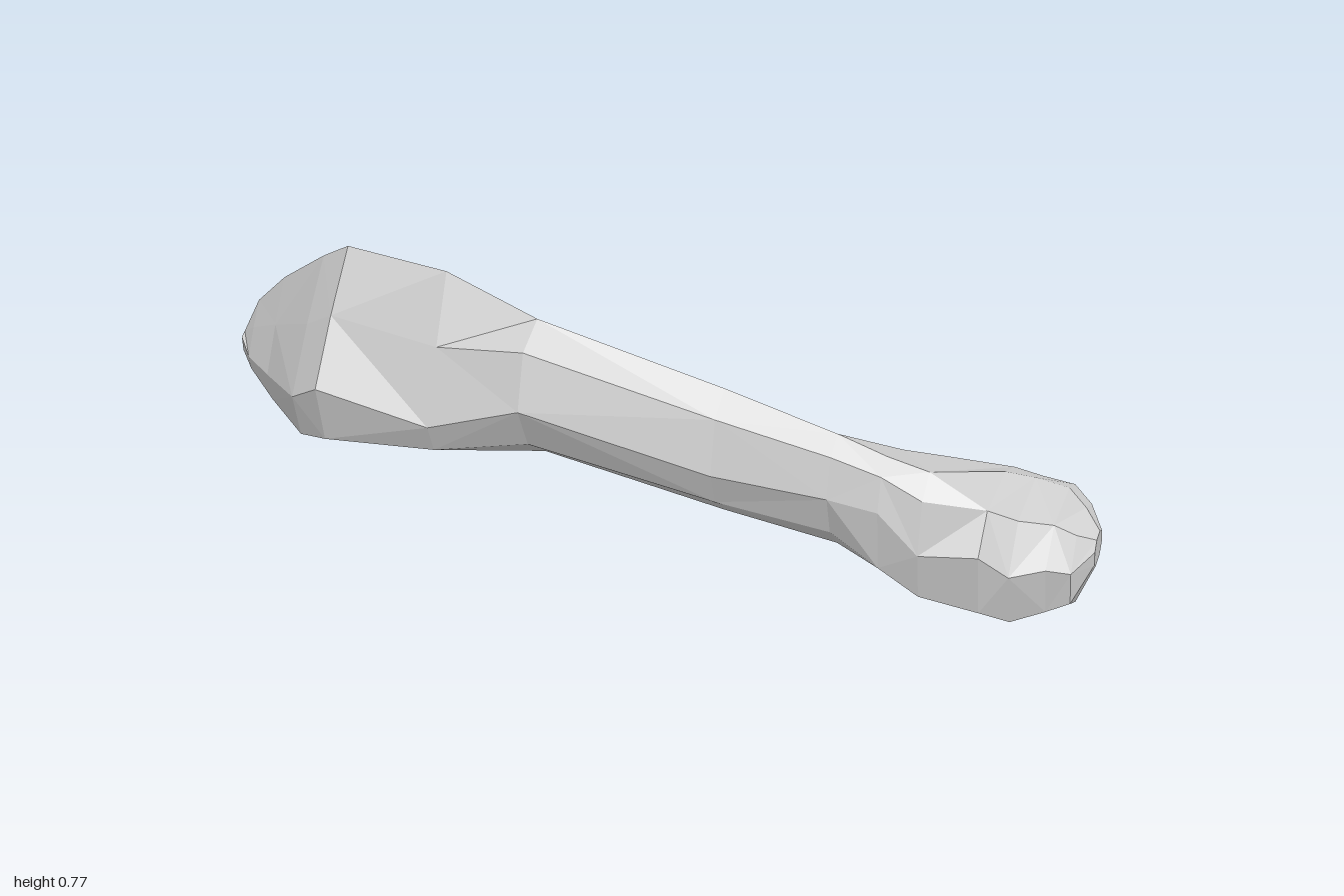
import * as THREE from 'three';

// Cross-sections along x: [x, topY, topZ, frontY, frontZ, bottomY, bottomZ, backY, backZ]
const wideEnd = [
  [-1.00, 0.50, 0.02, 0.48, 0.05, 0.44, 0.03, 0.47, 0.00],
  [-0.96, 0.57, 0.03, 0.45, 0.09, 0.41, 0.04, 0.48, -0.06],
  [-0.87, 0.645, 0.06, 0.44, 0.16, 0.36, 0.06, 0.495, -0.09],
  [-0.73, 0.73, 0.12, 0.45, 0.29, 0.33, 0.12, 0.50, -0.065],
  [-0.65, 0.77, 0.15, 0.49, 0.325, 0.335, 0.14, 0.54, -0.045],
  [-0.40, 0.745, 0.165, 0.42, 0.28, 0.345, 0.12, 0.46, -0.01],
];
const middle = [
  [-0.20, 0.65, 0.13, 0.47, 0.24, 0.33, 0.10, 0.41, -0.015],
  [0.20, 0.51, 0.03, 0.335, 0.115, 0.225, 0.03, 0.32, -0.04],
  [0.45, 0.43, 0.00, 0.30, 0.065, 0.165, -0.02, 0.25, -0.125],
];
const knuckleEnd = [
  [0.56, 0.39, -0.01, 0.28, 0.05, 0.11, -0.04, 0.26, -0.17],
  [0.65, 0.36, -0.03, 0.19, 0.04, 0.06, -0.06, 0.24, -0.25],
  [0.78, 0.325, -0.18, 0.20, 0.025, 0.025, -0.11, 0.22, -0.30],
  [0.84, 0.305, -0.22, 0.15, -0.01, 0.00, -0.19, 0.20, -0.315],
  [0.91, 0.28, -0.25, 0.16, -0.055, 0.025, -0.18, 0.22, -0.325],
  [0.96, 0.26, -0.20, 0.15, -0.08, 0.055, -0.15, 0.20, -0.275],
  [1.00, 0.225, -0.165, 0.19, -0.125, 0.15, -0.145, 0.19, -0.195],
];

// Corner fullness: top-front, bottom-front, bottom-back, top-back
function bulgesAt(x) {
  if (x < -0.3) return [0.04, 0.65, 0.3, 0.3];
  if (x < 0.5) return [0.4, 0.3, 0.35, 0.35];
  return [0.4, 0.6, 0.35, 0.55];
}

// Eight-sided ring: the four extremes plus a bulged corner between each pair
function makeRing([x, ...v]) {
  const ring = [];
  const bulges = bulgesAt(x);
  for (let q = 0; q < 4; q++) {
    const n = (q + 1) % 4;
    const a = new THREE.Vector3(x, v[q * 2], v[q * 2 + 1]);
    const b = new THREE.Vector3(x, v[n * 2], v[n * 2 + 1]);
    const corner = q % 2 === 0
      ? new THREE.Vector3(x, a.y, b.z)
      : new THREE.Vector3(x, b.y, a.z);
    ring.push(a, a.clone().lerp(b, 0.5).lerp(corner, bulges[q]));
  }
  return ring;
}

// Faceted skin through the rings, with optional end caps
function loft(name, sections, capStart, capEnd, material) {
  const rings = sections.map(makeRing);
  const points = [];
  for (let i = 0; i < rings.length - 1; i++) {
    for (let j = 0; j < 8; j++) {
      const k = (j + 1) % 8;
      const a = rings[i][j], b = rings[i][k];
      const c = rings[i + 1][j], d = rings[i + 1][k];
      if ((i + j) % 2) points.push(a, b, d, a, d, c);
      else points.push(a, b, c, b, d, c);
    }
  }
  const first = rings[0], last = rings[rings.length - 1];
  for (let j = 1; j < 7; j++) {
    if (capStart) points.push(first[0], first[j + 1], first[j]);
    if (capEnd) points.push(last[0], last[j], last[j + 1]);
  }
  const geometry = new THREE.BufferGeometry().setFromPoints(points);
  geometry.computeVertexNormals();
  const mesh = new THREE.Mesh(geometry, material);
  mesh.name = name;
  return mesh;
}

export function createModel() {
  const group = new THREE.Group();
  group.name = 'bone';
  const material = new THREE.MeshStandardMaterial({ color: 0xcccccc, flatShading: true });

  // Neighbouring parts share their end rings, so the surface is continuous
  const shaft = [wideEnd[wideEnd.length - 1], ...middle, knuckleEnd[0]];
  group.add(
    loft('wideEnd', wideEnd, true, false, material),
    loft('shaft', shaft, false, false, material),
    loft('knuckleEnd', knuckleEnd, false, true, material),
  );
  return group;
}
